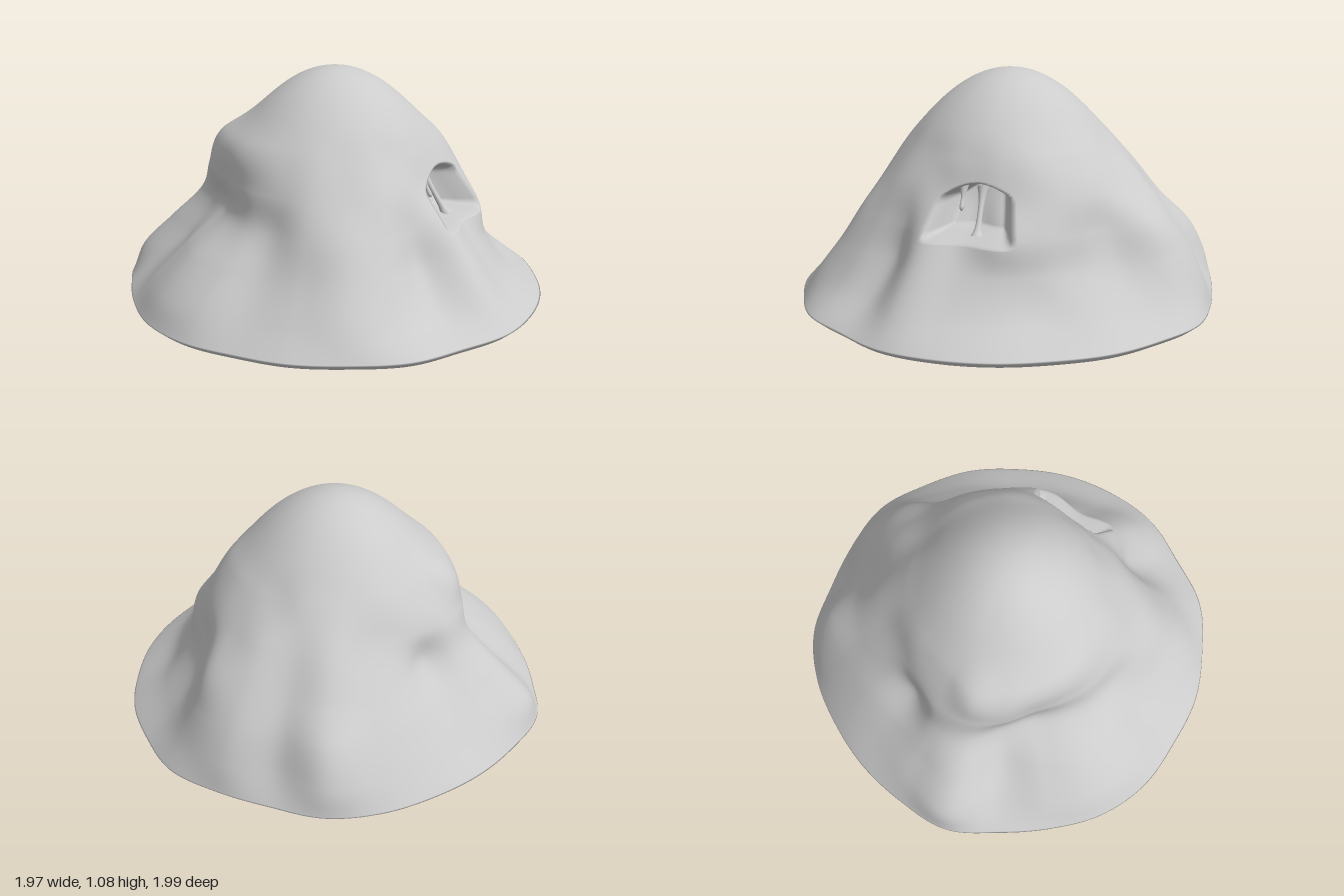
import * as THREE from 'three';

const TOP = 1.08, COLS = 300, ROWS = 180;
// Heights of the contour levels; the peak is the level after the last.
const LEVELS = [0.025, 0.15, 0.30, 0.45, 0.60, 0.75, 0.90];
const SUMMIT_RADIUS = 0.35; // the last contour is a plain circle
// Radii of the lower contours, every 15 degrees from +x towards +z.
const RADII = [
  [0.98, 0.80, 0.71, 0.67, 0.59, 0.50],
  [0.99, 0.82, 0.72, 0.68, 0.57, 0.48],
  [1.00, 0.85, 0.73, 0.63, 0.54, 0.46],
  [1.01, 0.90, 0.78, 0.67, 0.54, 0.46],
  [0.99, 0.81, 0.68, 0.62, 0.56, 0.46],
  [1.01, 0.87, 0.76, 0.67, 0.58, 0.47],
  [0.99, 0.91, 0.80, 0.70, 0.58, 0.47],
  [0.99, 0.88, 0.76, 0.67, 0.58, 0.48],
  [0.98, 0.86, 0.72, 0.61, 0.56, 0.48],
  [1.00, 0.91, 0.76, 0.60, 0.55, 0.49],
  [1.00, 0.92, 0.77, 0.57, 0.54, 0.50],
  [0.98, 0.88, 0.72, 0.54, 0.54, 0.51],
  [0.98, 0.84, 0.68, 0.57, 0.58, 0.53],
  [1.01, 0.96, 0.81, 0.66, 0.61, 0.55],
  [0.98, 0.90, 0.77, 0.66, 0.60, 0.50],
  [0.97, 0.86, 0.73, 0.59, 0.57, 0.48],
  [0.97, 0.88, 0.77, 0.65, 0.56, 0.48],
  [0.99, 0.92, 0.82, 0.70, 0.58, 0.48],
  [1.00, 0.97, 0.89, 0.74, 0.62, 0.49],
  [0.97, 0.89, 0.81, 0.71, 0.61, 0.49],
  [0.98, 0.94, 0.87, 0.77, 0.64, 0.48],
  [1.01, 0.93, 0.85, 0.77, 0.62, 0.49],
  [0.99, 0.86, 0.73, 0.66, 0.61, 0.50],
  [0.99, 0.83, 0.70, 0.65, 0.60, 0.50],
];

function spline(a, b, c, d, t) {
  return b + 0.5 * t * (c - a + t * (2 * a - 5 * b + 4 * c - d + t * (3 * (b - c) + d - a)));
}

// Interpolates a bottom-to-peak list, mirrored through the axis so the peak is round.
function alongProfile(list, v) {
  const n = list.length;
  const at = (k) => (k < 0 ? 2 * list[0] - list[1] : k < n ? list[k] : k === n ? 0 : -list[2 * n - k]);
  const k = Math.min(Math.floor(v), n - 1);
  return spline(at(k - 1), at(k), at(k + 1), at(k + 2), v - k);
}

function aroundRing(level, turn) {
  const n = RADII.length, k = Math.floor(turn * n);
  const at = (i) => RADII[(i + n) % n][level] ?? SUMMIT_RADIUS;
  return spline(at(k - 1), at(k), at(k + 1), at(k + 2), turn * n - k);
}

// 1 inside the cave mouth, 0 outside it, with rounded corners
function caveMask(degrees, y) {
  const roof = 0.665 - 0.00019 * (degrees - 26) ** 2;
  const edge = (distance) => THREE.MathUtils.smoothstep(distance, 0, 0.04);
  return edge((degrees - 10) * 0.011) * edge((46 - degrees) * 0.011) * edge(y - 0.42) * edge(roof - y);
}

function hillGeometry() {
  const drops = LEVELS.map((y) => Math.sqrt(TOP - y));
  const positions = [], index = [];
  const profiles = Array.from({ length: COLS }, (_, i) => LEVELS.map((_, l) => aroundRing(l, i / COLS)));
  // Row 0 is the rim on the ground, the others climb to the peak
  for (let j = 0; j <= ROWS + 1; j++) {
    const v = (Math.max(j - 1, 0) / ROWS) * LEVELS.length;
    const y = j === 0 ? 0 : TOP - alongProfile(drops, v) ** 2;
    for (let i = 0; i < COLS; i++) {
      const angle = (i / COLS) * Math.PI * 2;
      let r = alongProfile(profiles[i], v) * (j === 0 ? 0.97 : 1);
      r -= 0.18 * caveMask((i / COLS) * 360, y);
      positions.push(r * Math.cos(angle), y, r * Math.sin(angle));
      if (j <= ROWS) {
        const next = (i + 1) % COLS, a = j * COLS + i, b = j * COLS + next;
        index.push(a, a + COLS, b, b, a + COLS, b + COLS);
      }
    }
  }
  const geometry = new THREE.BufferGeometry();
  geometry.setAttribute('position', new THREE.Float32BufferAttribute(positions, 3));
  geometry.setIndex(index);
  geometry.computeVertexNormals();
  return geometry;
}

export function createModel() {
  const group = new THREE.Group();
  const material = new THREE.MeshStandardMaterial({ color: 0xcccccc });
  const add = (name, geometry) => {
    const mesh = new THREE.Mesh(geometry, material);
    mesh.name = name;
    group.add(mesh);
    return mesh;
  };

  // Rocky hill with the cave pressed into its side
  const hill = add('hill', hillGeometry());

  // Flat underside
  const position = hill.geometry.attributes.position;
  const rim = Array.from({ length: COLS }, (_, i) => new THREE.Vector2(position.getX(i), position.getZ(i)));
  add('underside', new THREE.ShapeGeometry(new THREE.Shape(rim)).rotateX(Math.PI / 2));

  // Dripstones in the cave mouth: [radius, height] profiles, flared where they meet rock
  const dripstone = (name, profile, x, y, z, lean) => {
    const curve = new THREE.SplineCurve(profile.map(([r, h]) => new THREE.Vector2(r, h)));
    const mesh = add(name, new THREE.LatheGeometry(curve.getPoints(20), 14));
    mesh.position.set(x, y, z);
    mesh.rotation.set(-lean / 2, 0, lean);
  };
  dripstone('pillar', [[0.03, 0], [0.016, 0.04], [0.012, 0.11], [0.016, 0.18], [0.028, 0.23]], 0.5, 0.43, 0.245, 0.5);
  dripstone('stalactite', [[0, 0], [0.011, 0.015], [0.009, 0.06], [0.022, 0.12]], 0.42, 0.53, 0.3, 0.4);
  return group;
}
